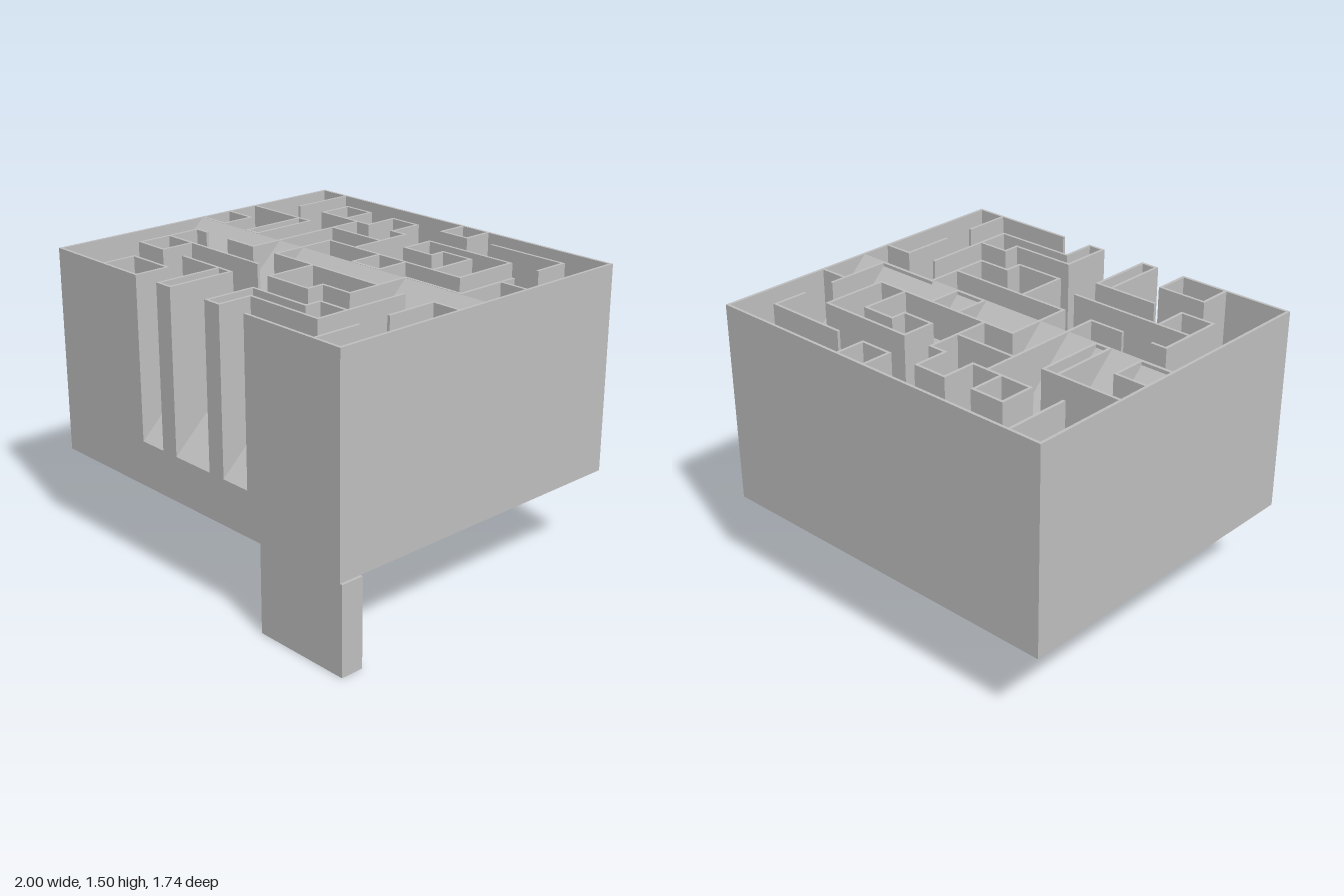
import * as THREE from 'three';

const T = 0.015;                       // wall thickness
const BASE = 0.45, FLOOR = 0.68, TOP = 1.5;
const X0 = -1, X1 = 0.985, Z = 0.87;   // outer footprint
const XL = X0 + T / 2, XR = X1 - T / 2, ZW = Z - T / 2; // outer wall centre lines

// Maze walls as polylines of x, z pairs
const backMaze = [
  [-0.82, -ZW, -0.82, -0.53],
  [XL, -0.36, -0.56, -0.36, -0.56, -0.01, -0.64, -0.01, -0.64, -0.36],
  [XL, -0.185, -0.82, -0.185, -0.82, -0.01, XL, -0.01],
  [-0.47, -0.53, -0.47, -0.705, -0.64, -0.705, -0.64, -0.53, -0.3, -0.53,
    -0.3, -0.705, -0.13, -0.705, -0.13, -0.53, -0.04, -0.53, -0.04, -0.185],
  [-0.385, -0.36, -0.04, -0.36],
  [0.045, -ZW, 0.045, -0.705, 0.215, -0.705, 0.215, -ZW],
  [0.385, -0.705, 0.82, -0.705, 0.82, -0.53],
  [0.48, -0.185, 0.48, -0.44, 0.305, -0.44, 0.305, -0.36, 0.13, -0.36,
    0.13, -0.53, 0.65, -0.53, 0.65, -0.185],
  [0.13, -0.185, 0.13, -0.01, 0.305, -0.01, 0.305, -0.185],
  [XR, -0.27, 0.82, -0.27],
];
const middleMaze = [
  [-0.385, -0.53, -0.385, 0.165, -0.565, 0.165],
  [0.65, -0.185, -0.215, -0.185, -0.215, 0.165, 0.48, 0.165],
  [0.82, -0.35, 0.82, -0.01, 0.48, -0.01, 0.48, 0.34, 0.305, 0.34,
    0.305, 0.43, 0.045, 0.43, 0.045, 0.165],
];
const frontMaze = [
  [-0.745, 0.165, -0.82, 0.165, -0.82, 0.515, -0.64, 0.515, -0.64, 0.34],
  [-0.82, 0.34, -0.145, 0.34],
  [-0.475, 0.515, -0.13, 0.515, -0.13, ZW, -0.215, ZW, -0.215, 0.515],
  [-0.64, ZW, -0.64, 0.685, -0.385, 0.685, -0.385, ZW],
  [0.65, 0.18, 0.65, 0.685, 0.215, 0.685, 0.215, ZW, 0.13, ZW, 0.13, 0.6,
    0.48, 0.6, 0.48, 0.515, 0.65, 0.515],
  [XR, 0.165, 0.82, 0.165, 0.82, 0.43],
  [0.82, 0.615, 0.82, ZW],
];
// Outer wall with the entrances left open at the front
const outerWall = [
  [-0.385, ZW, XL, ZW, XL, -ZW, XR, -ZW, XR, ZW, 0.395, ZW],
];

export function createModel() {
  const model = new THREE.Group();
  const stone = new THREE.MeshStandardMaterial({ color: 0xbfbfbf });
  stone.name = 'greyStone';

  const add = (name, geometry, parent = model) => {
    const mesh = new THREE.Mesh(geometry, stone);
    mesh.name = name;
    parent.add(mesh);
    return mesh;
  };
  // Box given by its lower and upper corners
  const block = (name, [x0, y0, z0], [x1, y1, z1], parent) =>
    add(name, new THREE.BoxGeometry(x1 - x0, y1 - y0, z1 - z0), parent)
      .position.set((x0 + x1) / 2, (y0 + y1) / 2, (z0 + z1) / 2);

  // Straight upright walls along every polyline
  const walls = (name, lines) => {
    const group = new THREE.Group();
    group.name = name;
    model.add(group);
    const h = T / 2;
    for (const p of lines) {
      for (let i = 0; i + 3 < p.length; i += 2) {
        block('wall',
          [Math.min(p[i], p[i + 2]) - h, FLOOR, Math.min(p[i + 1], p[i + 3]) - h],
          [Math.max(p[i], p[i + 2]) + h, TOP, Math.max(p[i + 1], p[i + 3]) + h], group);
      }
    }
  };

  // Base and ridged roof in one gabled body
  const gable = new THREE.Shape();
  [[-Z, BASE], [Z, BASE], [Z, FLOOR], [0, TOP], [-Z, FLOOR]]
    .forEach(([a, b], i) => (i ? gable.lineTo(a, b) : gable.moveTo(a, b)));
  const body = new THREE.ExtrudeGeometry(gable, { depth: X1 - X0, bevelEnabled: false });
  body.rotateY(Math.PI / 2).translate(X0, 0, 0);
  add('gabledBody', body);

  walls('outerWall', outerWall);
  walls('backMaze', backMaze);
  walls('middleMaze', middleMaze);
  walls('frontMaze', frontMaze);

  // Row of pegs sticking out of both slopes
  for (let i = 0; i < 12; i++) {
    const x = -0.86 + i * 0.155;
    block('peg', [x - 0.016, 1.06, -0.61], [x + 0.016, 1.092, 0.61]);
  }

  // Stairs under the front corner, rising towards the middle
  const S0 = 0.47, S1 = 1, ZS = 0.75, N = 8;
  const stairs = new THREE.Shape();
  stairs.moveTo(S0, 0);
  stairs.lineTo(S1, 0);
  for (let i = 0; i < N; i++) {
    const y = BASE * (i + 1) / N;
    stairs.lineTo(S1 - (S1 - S0) * i / N, y);
    stairs.lineTo(S1 - (S1 - S0) * (i + 1) / N, y);
  }
  const steps = new THREE.ExtrudeGeometry(stairs, { depth: Z - ZS, bevelEnabled: false });
  steps.translate(0, 0, ZS);
  add('stairs', steps);
  block('stairFrontWall', [S0, 0, Z - T], [S1, BASE, Z]);
  block('stairEndWall', [S1 - T, 0, ZS], [S1, BASE, Z]);

  return model;
}
